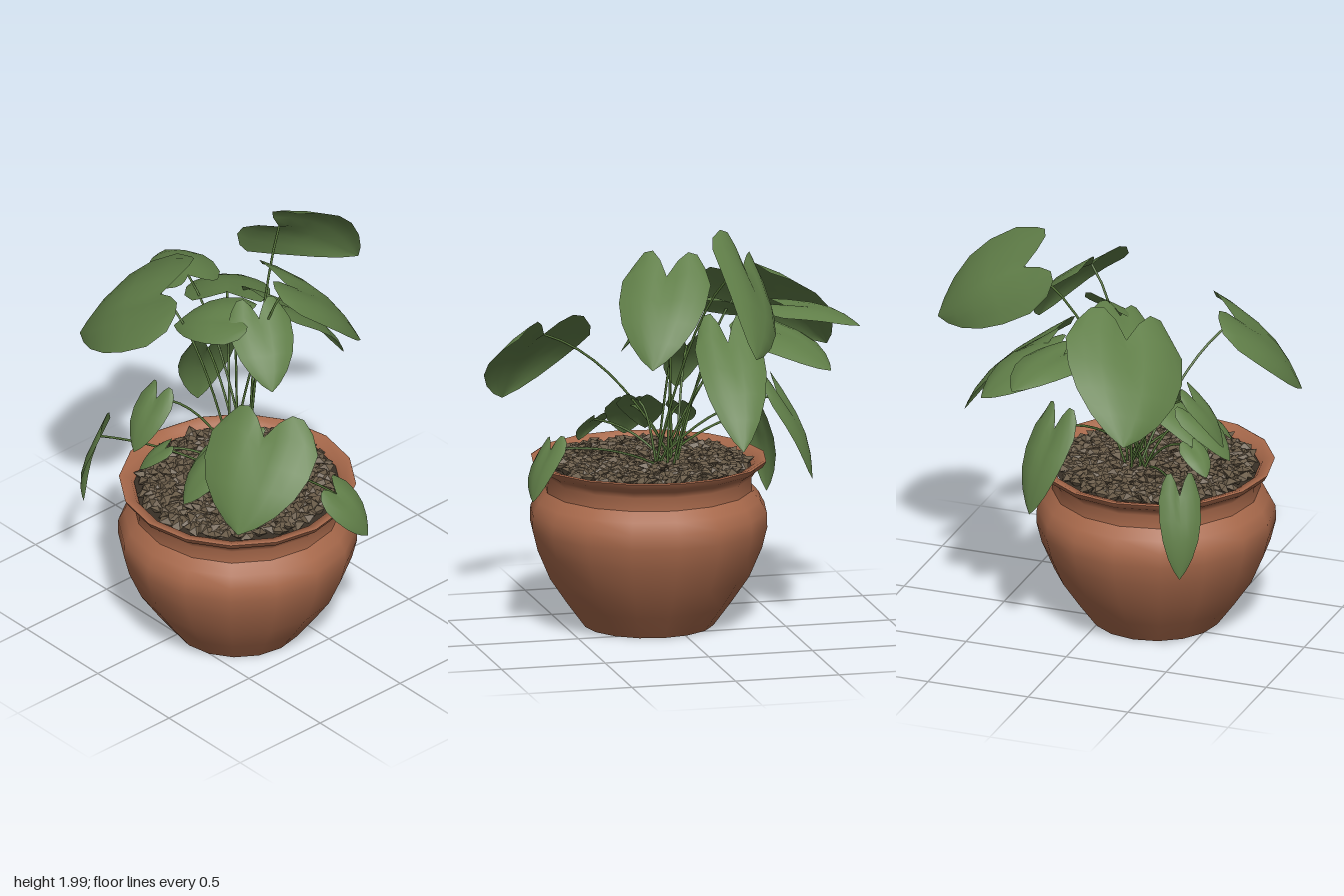
import * as THREE from 'three';
import { mergeGeometries } from 'three/addons/utils/BufferGeometryUtils.js';

const V = (a) => new THREE.Vector3(...a);
const CROWN = V([0.04, 0.77, 0.15]);

const terracotta = new THREE.MeshStandardMaterial({ color: 0xa8694b });
const leafGreen = new THREE.MeshStandardMaterial({ color: 0x607e48, side: THREE.DoubleSide });
const stemGreen = new THREE.MeshStandardMaterial({ color: 0x547238 });
const soilBrown = new THREE.MeshStandardMaterial({ color: 0x383026 });
const pebbleBrown = new THREE.MeshStandardMaterial({ color: 0x685a47, flatShading: true });

// name, stalk joint, tip, half width, roll about the midrib where it is tilted
const LEAVES = [
  ['topBackLeaf', [-0.21, 1.82, -0.32], [-0.16, 1.48, -0.77], 0.23, 0.9],
  ['backLeaf', [0.1, 1.74, -0.1], [0.25, 1.37, -0.42], 0.21],
  ['upperFrontLeaf', [0.03, 1.58, 0.02], [0.26, 1.33, 0.14], 0.15],
  ['upperMiddleLeaf', [-0.05, 1.57, 0.1], [-0.33, 1.45, 0.23], 0.15, 0.3],
  ['leftFrontLeaf', [-0.39, 1.61, 0.26], [-0.8, 1.25, 0.4], 0.29, 0.38],
  ['leftFarLeaf', [-0.5, 1.54, -0.01], [-0.82, 1.46, -0.15], 0.16],
  ['leftBackLeaf', [-0.35, 1.47, -0.12], [-0.62, 1.31, -0.38], 0.2],
  ['lowerBackLeaf', [-0.16, 1.44, -0.24], [-0.13, 1.01, -0.65], 0.16],
  ['leftDroopingLeaf', [-0.44, 1.13, -0.08], [-0.59, 0.74, -0.15], 0.13],
  ['rightFrontLeaf', [0.55, 1.36, 0.45], [0.68, 1, 0.73], 0.27],
  ['rightHangingLeaf', [0.62, 0.9, 0.06], [0.73, 0.68, -0.04], 0.11, -0.4],
  ['leftHangingLeaf', [-0.48, 0.9, 0.56], [-0.56, 0.51, 0.59], 0.1, 0.2],
  ['frontLeaf', [-0.15, 1.25, 0.5], [-0.14, 1.02, 0.65], 0.1],
  ['middleLeaf', [0.15, 1.07, 0.22], [0.05, 0.87, 0.5], 0.11],
  ['lowFrontLeaf', [0.16, 1.02, 0.38], [0.13, 0.83, 0.58], 0.11],
  ['smallRightLeaf', [0.32, 0.95, 0.4], [0.37, 0.83, 0.5], 0.07],
  ['smallLeftLeaf', [-0.11, 0.98, 0.48], [-0.18, 0.87, 0.58], 0.07],
];

// Heart-shaped blade: rows run from stalk joint to tip, lobes sweep back
function leafGeometry(base, tip, halfWidth, roll) {
  const dir = tip.clone().sub(base);
  const length = dir.length();
  dir.normalize();
  const side = dir.clone().cross(V([0, 1, 0])).normalize().applyAxisAngle(dir, -roll);
  const up = side.clone().cross(dir);
  const rows = [0, 0.14, 0.35, 0.55, 0.75, 0.9, 1];
  const widths = [0.8, 1, 0.98, 0.84, 0.58, 0.29, 0.01];
  const cols = 8;
  const pos = [], idx = [];
  rows.forEach((t, r) => {
    for (let c = 0; c <= cols; c++) {
      const u = (c / cols) * 2 - 1, a = Math.abs(u);
      const w = halfWidth * widths[r];
      const back = 0.28 * Math.sin(a * 2.6) * (1 - t) ** 3;
      const lift = 0.1 * length * Math.sin(Math.PI * t) + w * (0.12 * a - 0.32 * a * a);
      const p = base.clone().addScaledVector(dir, (t - back) * length)
        .addScaledVector(side, u * w).addScaledVector(up, lift);
      pos.push(p.x, p.y, p.z);
      if (r && c) {
        const i = r * (cols + 1) + c, j = i - cols - 1;
        idx.push(j - 1, j, i - 1, j, i, i - 1);
      }
    }
  });
  const g = new THREE.BufferGeometry();
  g.setAttribute('position', new THREE.Float32BufferAttribute(pos, 3));
  g.setIndex(idx);
  g.computeVertexNormals();
  return g;
}

// Thin stalk arching from the crown to the leaf
function stalkGeometry(base, i) {
  const start = CROWN.clone().add(V([0.05 * Math.cos(i * 2.4), 0, 0.05 * Math.sin(i * 2.4)]));
  const mid = start.clone().lerp(base, 0.45);
  mid.y = start.y + (base.y - start.y) * 0.8 + 0.04;
  return new THREE.TubeGeometry(new THREE.QuadraticBezierCurve3(start, mid, base), 10, 0.006, 5);
}

// Flattened stones spread in a spiral over the soil
function pebbleGeometry() {
  let seed = 7;
  const rnd = () => (seed = (seed * 16807) % 2147483647) / 2147483647;
  const parts = [];
  const count = 440;
  for (let i = 0; i < count; i++) {
    const r = 0.455 * Math.sqrt((i + 0.5) / count), a = i * 2.39996;
    const g = new THREE.OctahedronGeometry(0.036 + 0.012 * rnd(), 0);
    g.rotateY(0.5).scale(1.1, 0.5, 0.75);
    g.rotateX(rnd() - 0.5).rotateZ(rnd() - 0.5).rotateY(rnd() * 6.28);
    g.translate(r * Math.cos(a), 0.772 + 0.016 * rnd(), r * Math.sin(a));
    parts.push(g);
  }
  return mergeGeometries(parts);
}

export function createModel() {
  const model = new THREE.Group();
  const add = (parent, name, geometry, material) => {
    const mesh = new THREE.Mesh(geometry, material);
    mesh.name = name;
    parent.add(mesh);
  };
  const lathe = (pts) => new THREE.LatheGeometry(pts.map((p) => new THREE.Vector2(...p)), 16);

  terracotta.name = 'terracotta';
  leafGreen.name = 'leaf green';
  stemGreen.name = 'stem green';
  soilBrown.name = 'soil brown';
  pebbleBrown.name = 'pebble brown';

  // Pot with its filling
  const pot = new THREE.Group();
  pot.name = 'pot';
  pot.position.set(0.105, 0, 0.22);
  model.add(pot);
  add(pot, 'potBody', lathe([[0.305, 0], [0.39, 0.115], [0.475, 0.24], [0.535, 0.38], [0.56, 0.48], [0.558, 0.55], [0.53, 0.605], [0.485, 0.655]]), terracotta);
  add(pot, 'potNeck', lathe([[0.488, 0.65], [0.485, 0.715], [0.505, 0.745], [0.54, 0.768], [0.555, 0.795]]), terracotta);
  add(pot, 'potRim', lathe([[0.555, 0.795], [0.545, 0.8], [0.5, 0.785], [0.475, 0.74]]), terracotta);
  add(pot, 'potBase', new THREE.CircleGeometry(0.305, 16).rotateX(Math.PI / 2), terracotta);
  add(pot, 'soil', new THREE.CircleGeometry(0.485, 16).rotateX(-Math.PI / 2).translate(0, 0.765, 0), soilBrown);
  add(pot, 'pebbles', pebbleGeometry(), pebbleBrown);

  // Leaves, each on its stalk
  LEAVES.forEach(([name, joint, tip, halfWidth, roll = 0], i) => {
    const leaf = new THREE.Group();
    leaf.name = name;
    add(leaf, 'blade', leafGeometry(V(joint), V(tip), halfWidth, roll), leafGreen);
    add(leaf, 'stalk', stalkGeometry(V(joint), i), stemGreen);
    model.add(leaf);
  });
  return model;
}
